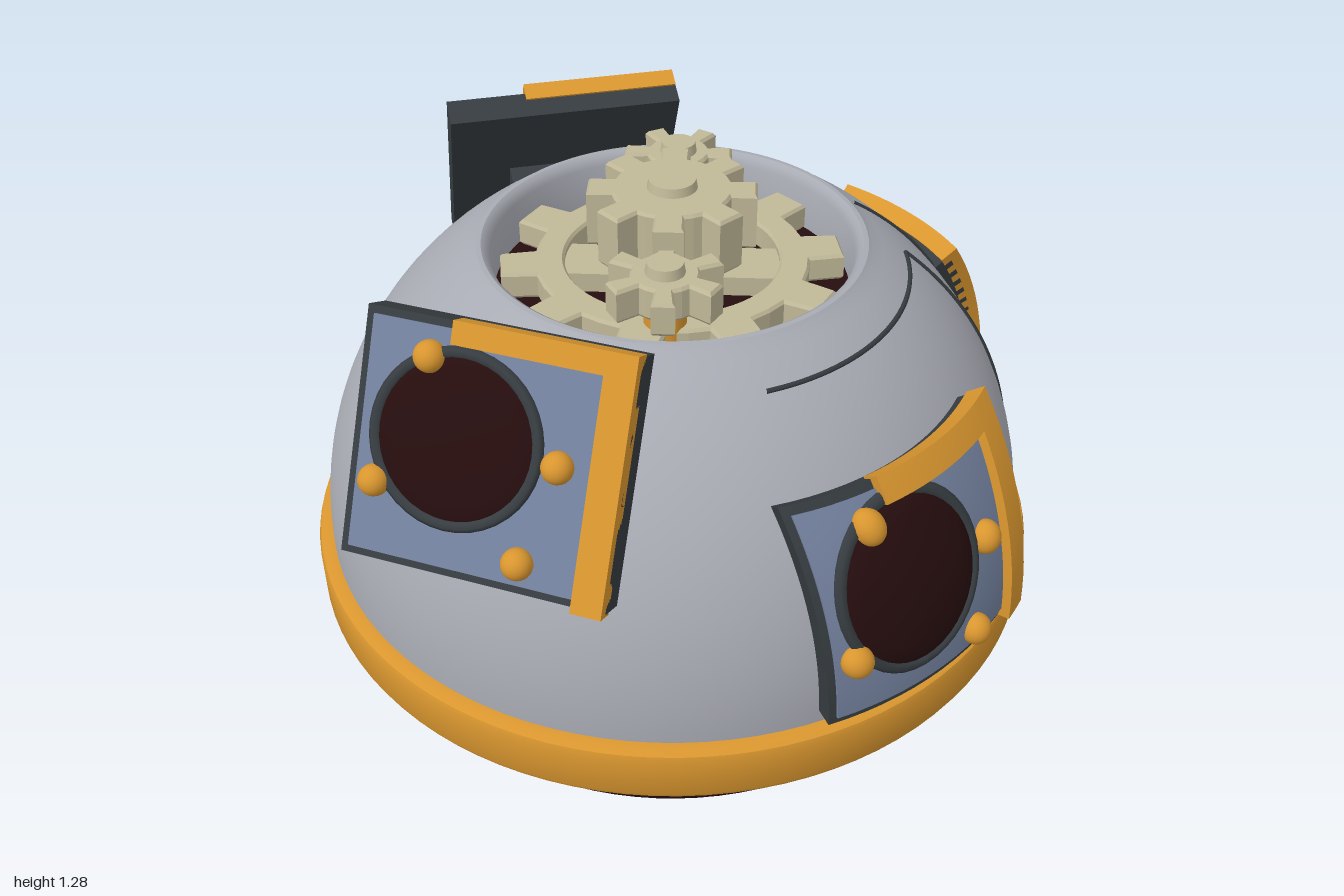
import * as THREE from 'three';
import { toCreasedNormals } from 'three/addons/utils/BufferGeometryUtils.js';

const material = (name, color) => {
  const m = new THREE.MeshStandardMaterial({ color });
  m.name = name;
  return m;
};
const shell = material('shellGrey', 0xa9abb4);
const orange = material('trimOrange', 0xd9962f);
const blue = material('panelBlue', 0x74829f);
const dark = material('darkGrey', 0x363c40);
const maroon = material('maroon', 0x260d0e);
const tan = material('gearTan', 0xc0b898);

const R = 0.906, CY = 0.36; // dome sphere radius and centre height

function add(group, name, geometry, mat, x = 0, y = 0, z = 0) {
  const mesh = new THREE.Mesh(geometry, mat);
  mesh.name = name;
  mesh.position.set(x, y, z);
  group.add(mesh);
  return mesh;
}

function lathe(profile, segments = 96) {
  const points = profile.map(([r, y]) => new THREE.Vector2(r, y));
  return toCreasedNormals(new THREE.LatheGeometry(points, segments), 0.6);
}

// Point on the dome at an azimuth (0 = front) and height
function onDome(azimuth, y, lift = 0) {
  const r = Math.sqrt(R * R - (y - CY) ** 2);
  return new THREE.Vector3(r * Math.sin(azimuth), y - CY, r * Math.cos(azimuth))
    .multiplyScalar(1 + lift / R).add(new THREE.Vector3(0, CY, 0));
}

function seam(group, a0, y0, a1, y1) {
  const points = [];
  for (let i = 0; i <= 16; i++) {
    const t = i / 16;
    points.push(onDome(a0 + (a1 - a0) * t, y0 + (y1 - y0) * t, 0.001));
  }
  const path = new THREE.CatmullRomCurve3(points);
  add(group, 'seam', new THREE.TubeGeometry(path, 40, 0.006, 6), dark);
}

// Spur gear lying flat, its base at y = 0
function gear(teeth, root, tip, height, hole = 0, fill = 0.5) {
  const shape = new THREE.Shape();
  const pitch = Math.PI * 2 / teeth;
  for (let i = 0; i < teeth; i++) {
    const a = i * pitch;
    const corners = [[-fill * 0.62, root], [-fill * 0.45, tip], [fill * 0.45, tip], [fill * 0.62, root], [0.5, root]];
    corners.forEach(([k, r], j) => {
      const x = r * Math.cos(a + k * pitch), y = r * Math.sin(a + k * pitch);
      if (i + j === 0) shape.moveTo(x, y); else shape.lineTo(x, y);
    });
  }
  shape.closePath();
  if (hole) shape.holes.push(new THREE.Path().absarc(0, 0, hole, 0, Math.PI * 2, true));
  return new THREE.ExtrudeGeometry(shape, {
    depth: height - 0.016, bevelThickness: 0.008, bevelSize: 0.006, bevelOffset: -0.006, bevelSegments: 1, curveSegments: 32,
  }).translate(0, 0, 0.008).rotateX(-Math.PI / 2);
}

// Hatch panel drawn in (u, v, depth); bend wraps it on the dome, side mirrors it
function panel(name, side, height, thickness, bend) {
  const group = new THREE.Group();
  group.name = name;
  const k = height / 0.53;
  const part = (label, geometry, mat, u, v, d) => {
    geometry.translate(u * side, v * k, d);
    if (bend) {
      const p = geometry.attributes.position;
      for (let i = 0; i < p.count; i++) {
        const q = bend(p.getX(i), p.getY(i), p.getZ(i));
        p.setXYZ(i, q.x, q.y, q.z);
      }
      geometry.computeVertexNormals();
    }
    add(group, label, geometry, mat);
  };
  const box = (w, h, t) => new THREE.BoxGeometry(w, h, t, 14, 14, 1);
  const round = (profile) => new THREE.LatheGeometry(
    profile.map(([r, y]) => new THREE.Vector2(r, y)), 40).rotateX(Math.PI / 2);

  part('panelBody', box(0.62, height, thickness), dark, 0, 0, -thickness / 2);
  part('panelFace', box(0.585, height - 0.035, 0.008), blue, 0, 0, 0.002);
  part('sideTrim', box(0.07, height + 0.01, 0.05), orange, 0.275, 0, 0.003);
  part('topTrim', box(0.34, 0.052, 0.05), orange, 0.07, (height / 2 - 0.021) / k, 0.003);
  part('lensRim', round([[0.2, 0], [0.2, 0.012], [0.192, 0.018], [0.18, 0.018], [0.174, 0.008]]), dark, -0.07, 0.025, 0.002);
  part('lens', round([[0.178, 0], [0.176, 0.012], [0.14, 0.017], [0.09, 0.021], [0.045, 0.023], [0, 0.024]]), maroon, -0.07, 0.025, 0.002);
  for (const [u, v] of [[-0.15, 0.185], [0.165, 0.015], [-0.245, -0.095], [0.105, -0.2]]) {
    part('rivet', new THREE.SphereGeometry(0.036, 20, 14), orange, u, v, 0.012);
  }
  return group;
}

export function createModel() {
  const model = new THREE.Group();
  model.name = 'domeMachine';
  const body = new THREE.Group();
  body.name = 'body';
  body.position.set(0.015, 0, 0.02);
  model.add(body);

  // Dome shell with rolled lip around the top opening
  const dome = [[0.78, 0.27], [0.9, 0.27], [0.906, 0.33]];
  for (let i = 0; i <= 28; i++) {
    const a = i / 28 * 1.01;
    dome.push([R * Math.cos(a), CY + R * Math.sin(a)]);
  }
  dome.push([0.472, 1.136], [0.46, 1.137], [0.45, 1.13], [0.44, 1.11], [0.436, 0.99]);
  add(body, 'dome', lathe(dome), shell);
  add(body, 'wellFloor', new THREE.CylinderGeometry(0.438, 0.438, 0.02, 64), maroon, 0, 0.99);

  // Base ring and hollow foot
  add(body, 'baseRing', lathe([[0.86, 0.29], [0.86, 0.205], [0.925, 0.205], [0.938, 0.21], [0.945, 0.225],
    [0.945, 0.33], [0.94, 0.345], [0.925, 0.355], [0.895, 0.355]]), orange);
  add(body, 'foot', lathe([[0.765, 0.31], [0.765, 0.01], [0.775, 0.003], [0.78, 0.003], [0.787, 0.012], [0.79, 0.03], [0.79, 0.3]]), maroon);
  add(body, 'innerStrip', lathe([[0.765, 0.336], [0.765, 0.31]]), shell);
  add(body, 'innerCeiling', lathe([[0, 0.336], [0.765, 0.336]]), maroon);

  // Seams in the shell
  seam(body, -0.38, 1.06, 0.905, 1.06);
  seam(body, 0.905, 1.06, 0.905, 0.38);
  seam(body, 1.2, 1.125, 1.2, 0.88);
  seam(body, 2.405, 0.86, 1.9, 0.86);

  // Gear train in the well
  const gears = new THREE.Group();
  gears.name = 'gears';
  body.add(gears);
  add(gears, 'ringGear', gear(10, 0.335, 0.42, 0.07, 0.262, 0.42), tan, 0, 1.01);
  const spoke = add(gears, 'ringSpoke', new THREE.BoxGeometry(0.56, 0.05, 0.14), tan, 0, 1.035);
  spoke.rotation.y = -Math.PI / 4;
  add(gears, 'centreShaft', new THREE.CylinderGeometry(0.05, 0.05, 0.13, 24), tan, 0, 1.06);
  add(gears, 'centreGear', gear(8, 0.145, 0.205, 0.145), tan, 0, 1.12);
  add(gears, 'centreHub', new THREE.CylinderGeometry(0.056, 0.062, 0.03, 32), tan, 0, 1.272);
  for (const s of [-1, 1]) {
    const x = 0.208 * s, z = -0.205 * s;
    add(gears, 'pinionAxle', new THREE.CylinderGeometry(0.05, 0.05, 0.13, 24), orange, x, 1.065, z);
    add(gears, 'pinion', gear(6, 0.08, 0.138, 0.085, 0, 0.42), tan, x, 1.125, z).rotation.y = 0.25 * s;
    add(gears, 'pinionHub', new THREE.CylinderGeometry(0.042, 0.047, 0.03, 28), tan, x, 1.22, z);
  }

  // Two closed panels wrapped on the shell, mirrored about the diagonal
  const wrap = (side) => (u, v, d) => {
    const x = u - 0.022 * side, y = v + 0.278;
    const p = new THREE.Vector3(x * 0.97, y, Math.sqrt(R * R - x * x * 0.94 - y * y));
    return p.multiplyScalar((0.955 + d) / R).add(new THREE.Vector3(0, CY, 0));
  };
  body.add(panel('frontPanel', 1, 0.49, 0.06, wrap(1)));
  const leftPanel = panel('leftPanel', -1, 0.49, 0.06, wrap(-1));
  leftPanel.rotation.y = Math.PI / 2;
  body.add(leftPanel);

  // Two raised flat panels, each on a thick support arm
  for (const [name, side, nx, nz] of [['rightHatch', 1, -0.875, 0.48], ['backHatch', -1, 0.48, -0.875]]) {
    const mount = new THREE.Group();
    mount.name = name + 'Mount';
    mount.rotation.y = Math.atan2(nx, nz);
    body.add(mount);
    const hatch = panel(name, side, 0.55, 0.075);
    hatch.position.set(-0.15 * side, 0.99, 0.77);
    hatch.rotation.x = -0.47;
    add(hatch, 'supportArm', new THREE.BoxGeometry(0.3, 0.26, 0.16), dark, 0, -0.08, -0.14);
    mount.add(hatch);
  }
  return model;
}
